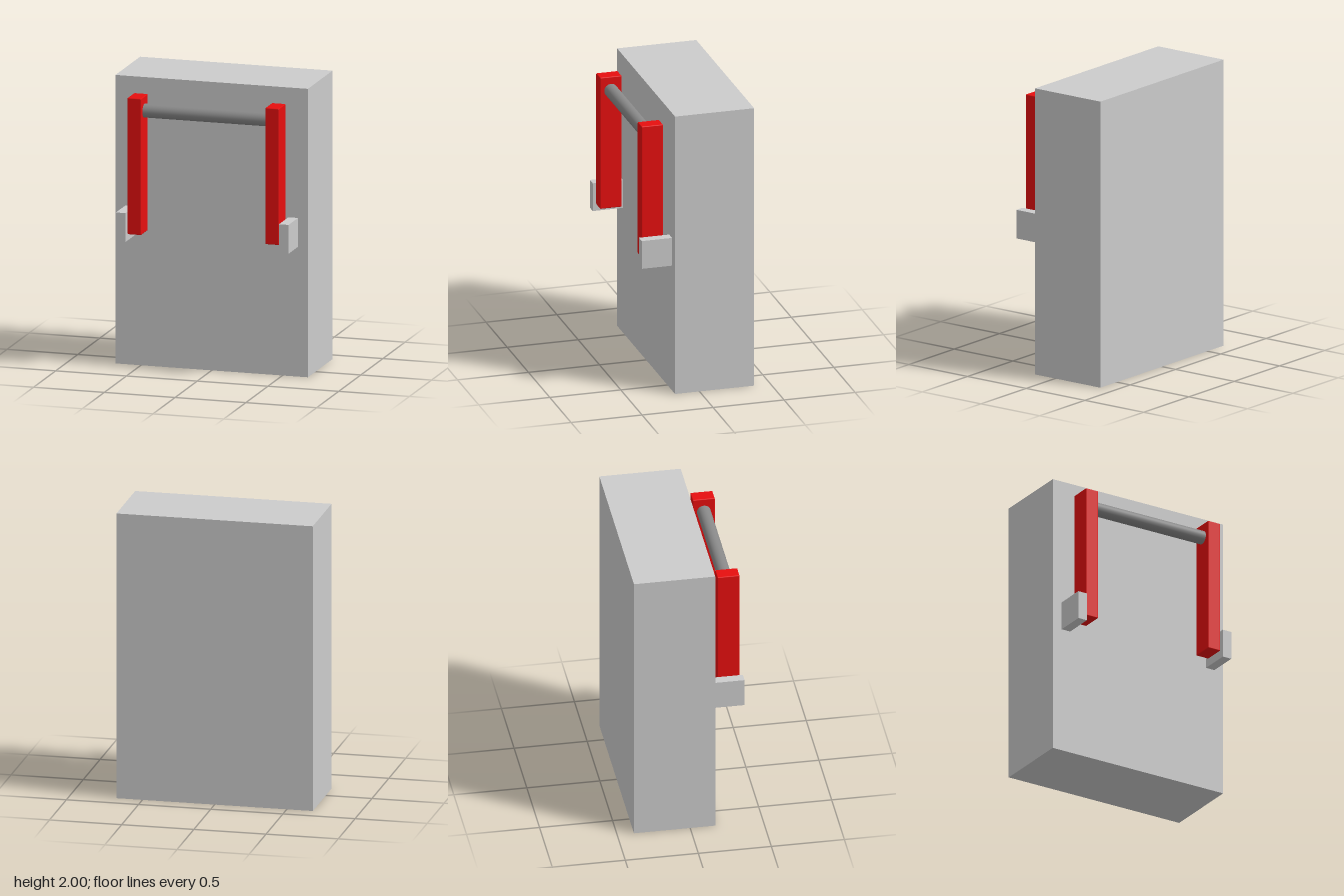
import * as THREE from 'three';
import { RoundedBoxGeometry } from 'three/addons/geometries/RoundedBoxGeometry.js';

const grey = new THREE.MeshStandardMaterial({ color: 0xcccccc });
const red = new THREE.MeshStandardMaterial({ color: 0xe60f0f });
const darkGrey = new THREE.MeshStandardMaterial({ color: 0x888888 });

export function createModel() {
  const model = new THREE.Group();
  model.name = 'leverSwitch';

  const add = (name, geometry, material, x, y, z) => {
    const mesh = new THREE.Mesh(geometry, material);
    mesh.name = name;
    mesh.position.set(x, y, z);
    model.add(mesh);
    return mesh;
  };

  // Plain housing box
  add('housing', new THREE.BoxGeometry(1.36, 2, 0.557), grey, 0, 1, -0.1065);

  // Side brackets and lever arms, mirrored
  const bracket = new THREE.BoxGeometry(0.068, 0.2, 0.213);
  const arm = new RoundedBoxGeometry(0.097, 0.946, 0.152, 2, 0.006);
  for (const [side, s] of [['left', 1], ['right', -1]]) {
    add(side + 'Bracket', bracket, grey, s * 0.576, 1, 0.2785);
    add(side + 'Arm', arm, red, s * 0.487, 1.422, 0.288);
  }

  // Round grip joining the arms
  const grip = add('gripBar', new THREE.CylinderGeometry(0.047, 0.047, 0.9, 32), darkGrey, 0, 1.797, 0.288);
  grip.rotation.z = Math.PI / 2;

  return model;
}
